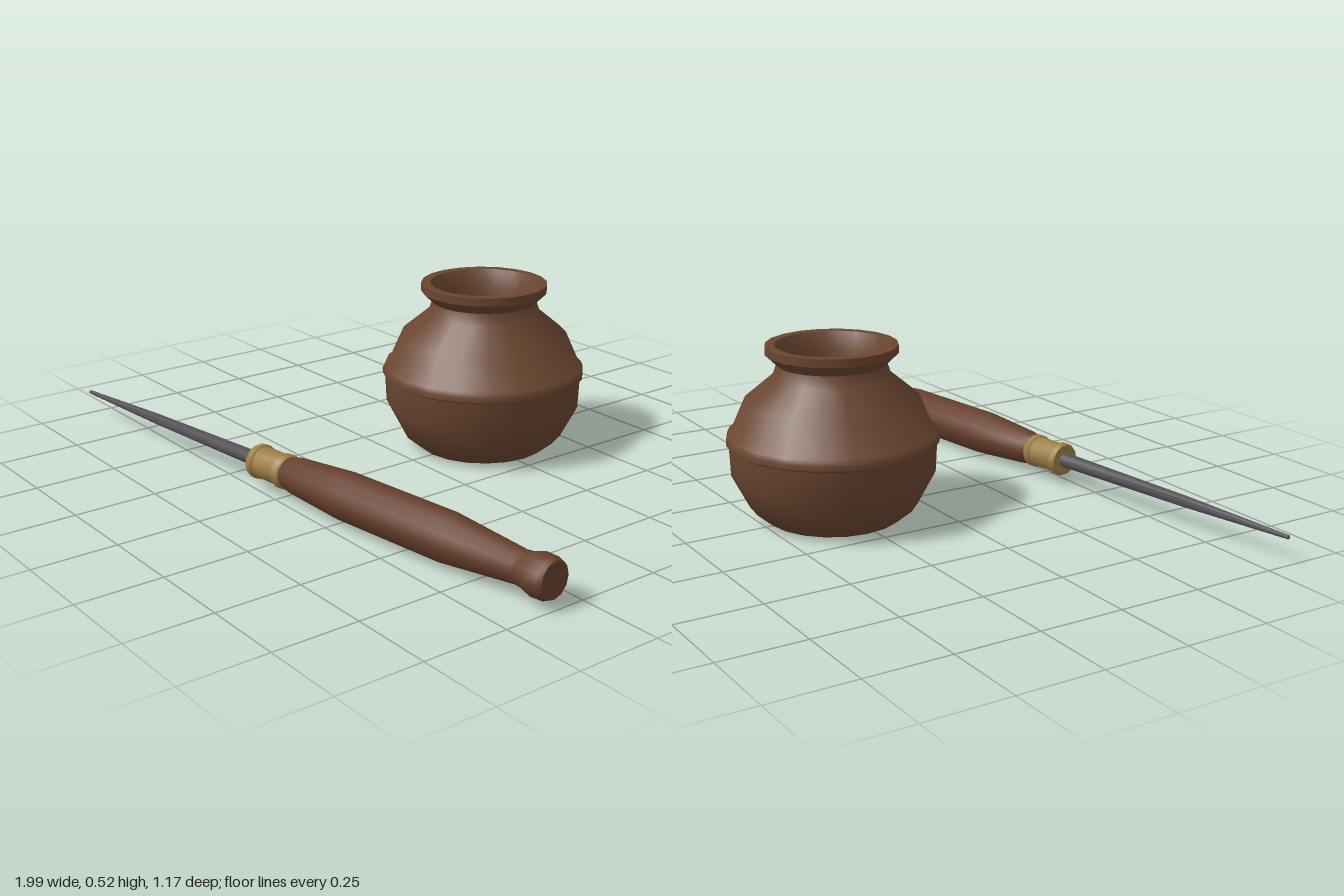
import * as THREE from 'three';
import { toCreasedNormals } from 'three/addons/utils/BufferGeometryUtils.js';

const mat = (name, color) => {
  const m = new THREE.MeshStandardMaterial({ color });
  m.name = name;
  return m;
};

// Turned part from [radius, height] pairs
function turned(name, profile, sides, material) {
  const points = profile.map(([r, h]) => new THREE.Vector2(r, h));
  const geometry = toCreasedNormals(new THREE.LatheGeometry(points, sides), 0.75);
  const mesh = new THREE.Mesh(geometry, material);
  mesh.name = name;
  return mesh;
}

export function createModel() {
  const clay = mat('brown clay', 0x6b4630);
  const wood = mat('brown wood', 0x673f2c);
  const brass = mat('brass', 0x9c7e46);
  const iron = mat('dark iron', 0x545157);
  const ink = mat('black ink', 0x0e0e0e);

  const model = new THREE.Group();
  model.name = 'potAndAwl';

  // Pot with a raised band, flared lip and inner neck
  const pot = new THREE.Group();
  pot.name = 'pot';
  pot.position.z = -0.277;
  pot.add(turned('potBody', [
    [0, 0], [0.2, 0], [0.248, 0.04], [0.3, 0.14], [0.304, 0.225],
    [0.311, 0.23], [0.312, 0.245], [0.305, 0.26], [0.296, 0.265],
    [0.256, 0.355], [0.172, 0.425], [0.16, 0.46], [0.193, 0.492],
    [0.193, 0.516], [0.165, 0.516], [0.138, 0.465], [0.137, 0.39],
  ], 20, clay));
  const surface = new THREE.Mesh(new THREE.CircleGeometry(0.138, 20), ink);
  surface.name = 'inkSurface';
  surface.rotation.set(-Math.PI / 2, 0, 0);
  surface.position.y = 0.41;
  pot.add(surface);
  model.add(pot);

  // Awl lying in front: the profile heights run along its length
  const awl = new THREE.Group();
  awl.name = 'awl';
  awl.position.set(0, 0.076, 0.458);
  awl.rotation.set(0, 0.12, -Math.PI / 2, 'YXZ');
  awl.add(turned('blade', [
    [0, -1.0], [0.006, -0.995], [0.017, -0.62], [0.023, -0.12],
  ], 10, iron));
  awl.add(turned('ferrule', [
    [0, -0.128], [0.048, -0.128], [0.052, -0.12], [0.052, -0.105], [0.047, -0.1],
    [0.047, -0.015], [0.052, -0.01], [0.052, 0.007], [0.047, 0.014], [0, 0.014],
  ], 14, brass));
  awl.add(turned('handle', [
    [0, 0.014], [0.046, 0.014], [0.053, 0.04], [0.069, 0.25], [0.069, 0.64],
    [0.046, 0.89], [0.048, 0.91], [0.059, 0.945], [0.058, 0.985], [0.052, 0.998], [0, 0.998],
  ], 12, wood));
  model.add(awl);

  return model;
}
